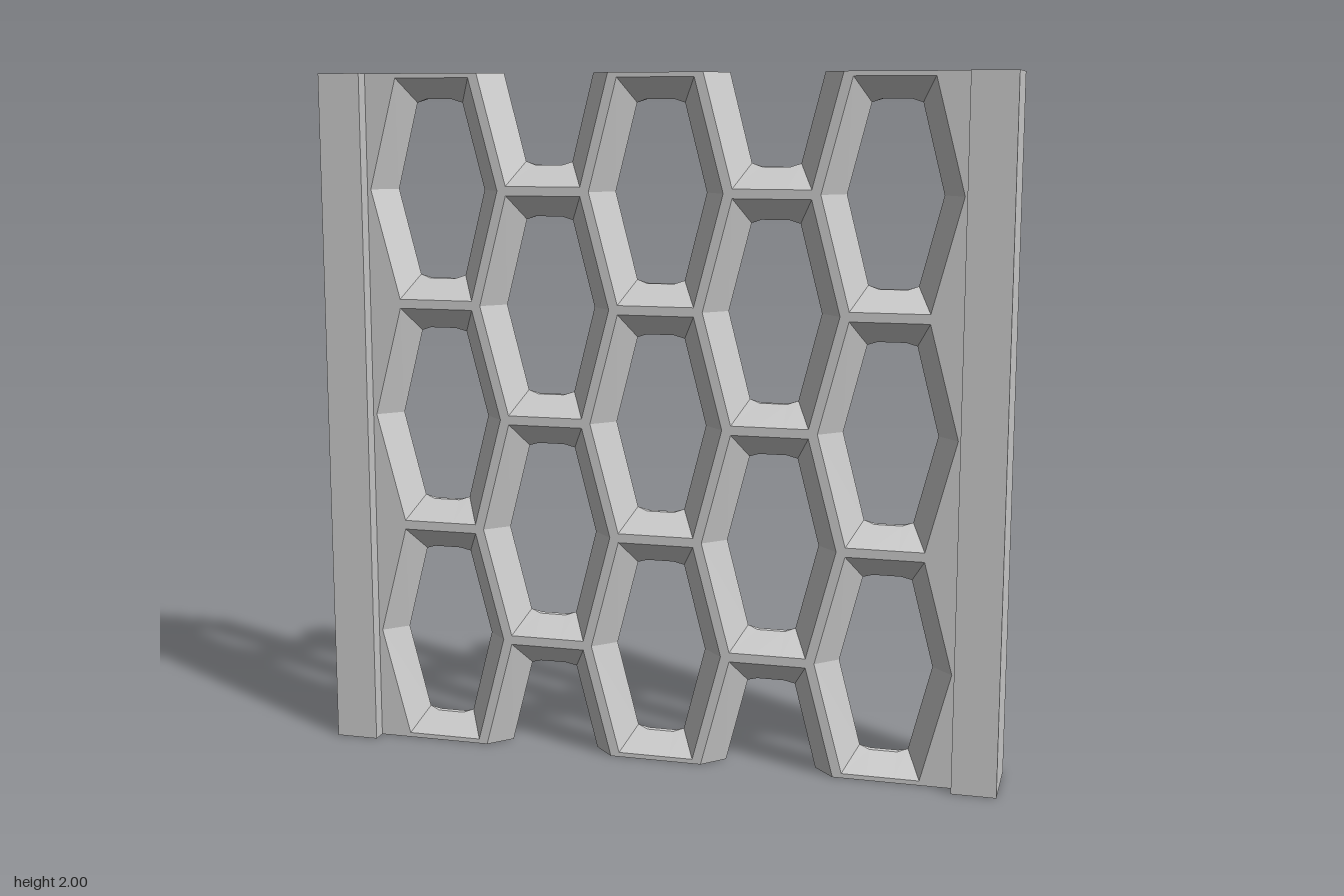
import * as THREE from 'three';

const DEPTH = 0.065, POST_X = 0.873, POST_Z = 0.108;

// Upper half of a hexagonal cell, counter-clockwise from the right corner
const RIM = [[0.196, 0], [0.112, 0.32], [0.04, 0.32], [-0.04, 0.32], [-0.112, 0.32], [-0.196, 0]]
  .map(([x, y]) => [x, y, DEPTH]);
const LIP = [[0.134, 0, 0], [0.07, 0.25, 0], [0.04, 0.26, 0.009],
  [-0.04, 0.26, 0.009], [-0.07, 0.25, 0], [-0.134, 0, 0]];
const MID = LIP.map(([x, y]) => [x, y, 0]);

// Faceted strip of quads between neighbouring rows of points
function strip(rows) {
  const pos = [];
  for (let r = 0; r < rows.length - 1; r++) {
    for (let i = 0; i < rows[r].length - 1; i++) {
      const a = rows[r][i], b = rows[r][i + 1], c = rows[r + 1][i + 1], d = rows[r + 1][i];
      pos.push(...a, ...b, ...c, ...a, ...c, ...d);
    }
  }
  const g = new THREE.BufferGeometry();
  g.setAttribute('position', new THREE.Float32BufferAttribute(pos, 3));
  g.computeVertexNormals();
  return g;
}

// Points of the upper (sign 1) or lower (sign -1) rim around a cell centre
const rimAt = (x, y, sign) => RIM.map(p => new THREE.Vector2(x + sign * p[0], y + sign * p[1]));

export function createModel() {
  const model = new THREE.Group();
  const material = new THREE.MeshStandardMaterial({
    color: 0xcccccc, flatShading: true, side: THREE.DoubleSide
  });
  const add = (parent, name, geometry) => {
    const mesh = new THREE.Mesh(geometry, material);
    mesh.name = name;
    parent.add(mesh);
    return mesh;
  };

  // Cell layout: full cells, with half cells cut by the top and bottom edges
  const cells = [];
  for (let col = -2; col <= 2; col++) {
    const odd = col % 2 !== 0;
    for (let row = 0; row < (odd ? 4 : 3); row++) {
      const y = (odd ? row * 2 : row * 2 + 1) / 3;
      const signs = !odd ? [1, -1] : row === 0 ? [1] : row === 3 ? [-1] : [1, -1];
      cells.push({ x: col / 3, y, signs });
    }
  }

  // Flat face of the lattice: notched outline with hexagonal holes
  const outline = [new THREE.Vector2(-POST_X, 0)];
  for (const x of [-1 / 3, 1 / 3]) outline.push(...rimAt(x, 0, 1).reverse());
  outline.push(new THREE.Vector2(POST_X, 0), new THREE.Vector2(POST_X, 2));
  for (const x of [1 / 3, -1 / 3]) outline.push(...rimAt(x, 2, -1).reverse());
  outline.push(new THREE.Vector2(-POST_X, 2));
  const face = new THREE.Shape(outline);
  for (const { x, y, signs } of cells) {
    if (signs.length === 2) {
      const hole = [...rimAt(x, y, 1).slice(0, -1), ...rimAt(x, y, -1).slice(0, -1)];
      face.holes.push(new THREE.Path(hole));
    }
  }
  const faceGeometry = new THREE.ShapeGeometry(face).translate(0, 0, DEPTH);
  const bevelGeometry = strip([RIM, LIP, MID]);

  // Front half of the lattice, and the same half turned round for the back
  for (const side of ['front', 'back']) {
    const half = new THREE.Group();
    half.name = side + 'Lattice';
    add(half, 'latticeFace', faceGeometry);
    for (const { x, y, signs } of cells) {
      for (const s of signs) {
        const bevel = add(half, 'cellBevel', bevelGeometry);
        bevel.position.set(x, y, 0);
        if (s < 0) bevel.rotation.z = Math.PI;
      }
    }
    if (side === 'back') half.rotation.y = Math.PI;
    model.add(half);
  }

  // Hollow side posts, open at both ends and towards the lattice
  const profile = [[POST_X, DEPTH], [POST_X, POST_Z], [1, POST_Z],
    [1, -POST_Z], [POST_X, -POST_Z], [POST_X, -DEPTH]];
  const postGeometry = strip([0, 2].map(y => profile.map(([x, z]) => [x, y, z])));
  add(model, 'leftPost', postGeometry);
  add(model, 'rightPost', postGeometry).rotation.y = Math.PI;

  return model;
}
